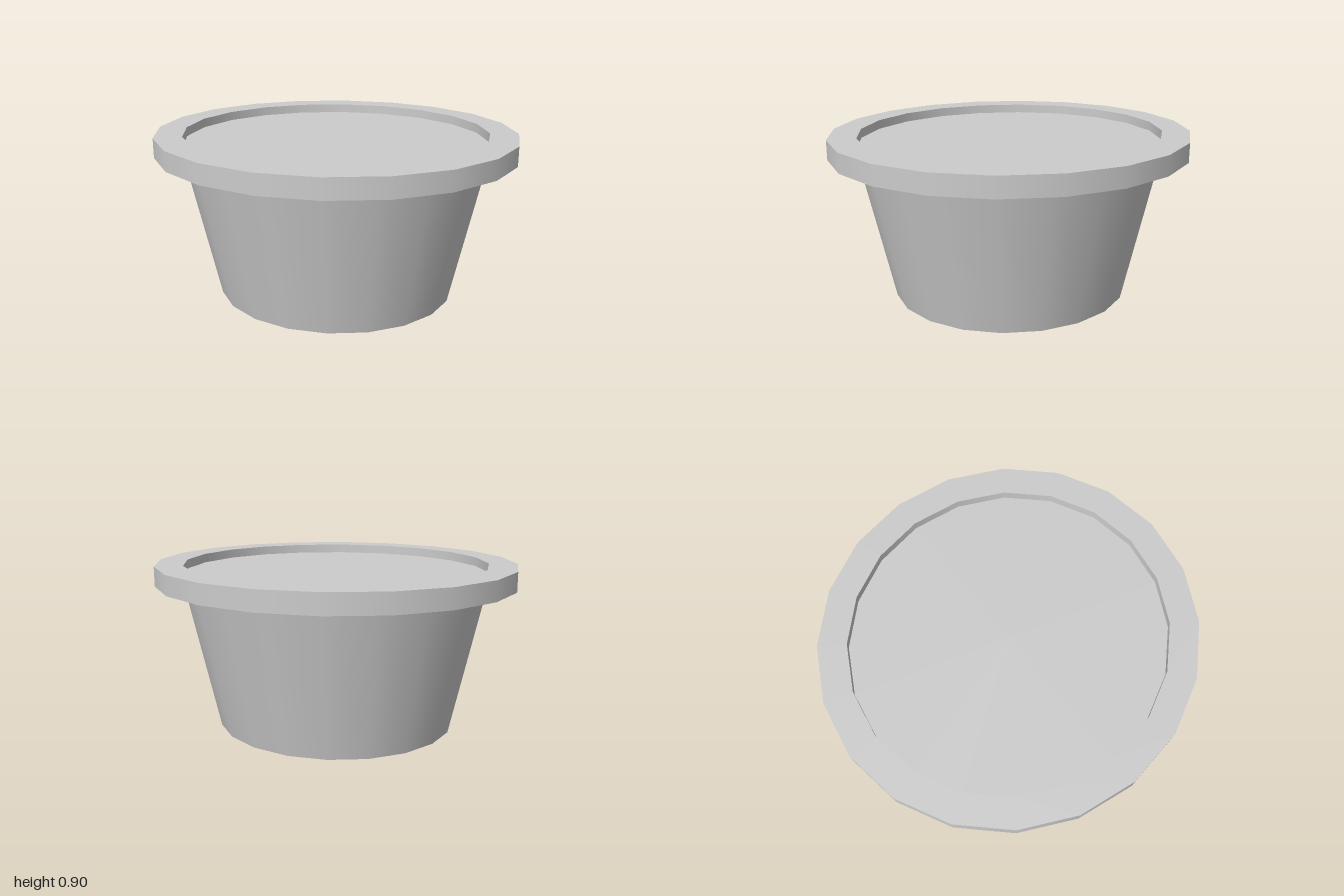
import * as THREE from 'three';

const SIDES = 20;
const DEPTH = 0.963; // slightly oval in z

export function createModel() {
  const model = new THREE.Group();
  model.name = 'lippedTub';
  const material = new THREE.MeshStandardMaterial({ color: 0xcccccc });

  // Each pair of profile points becomes its own band, so the edges between bands stay sharp
  function turned(name, profile) {
    const part = new THREE.Group();
    part.name = name;
    for (let i = 0; i < profile.length - 1; i++) {
      const points = [profile[i], profile[i + 1]].map(([r, y]) => new THREE.Vector2(r, y));
      const band = new THREE.Mesh(new THREE.LatheGeometry(points, SIDES), material);
      band.name = `${name}Band${i + 1}`;
      part.add(band);
    }
    part.scale.z = DEPTH;
    model.add(part);
  }

  // Tapered body with a flat base
  turned('body', [[0, 0], [0.667, 0], [0.845, 0.795]]);

  // Overhanging rim: underside, outer wall, top and inner wall
  turned('rim', [[0.845, 0.795], [1, 0.795], [1, 0.9], [0.845, 0.9], [0.845, 0.85]]);

  // Recessed flat surface inside the rim
  turned('recessedTop', [[0.845, 0.85], [0, 0.85]]);

  return model;
}
